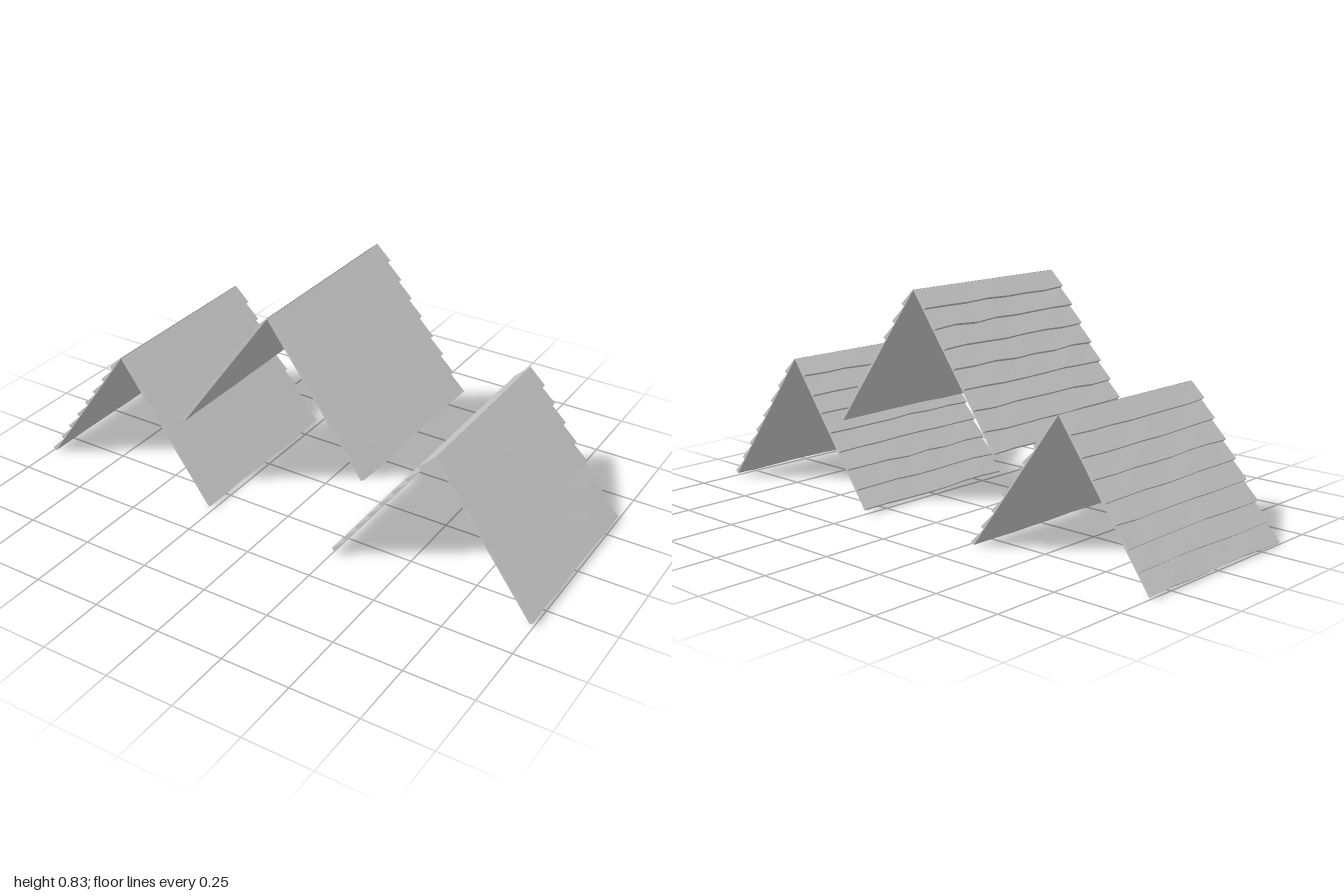
import * as THREE from 'three';

const ROWS = 8, STATIONS = 8;           // shingle courses per slope, points along each lip
const DROP = 0.498;                     // fall of every slope
const LIP = 0.016, SKIN = 0.002;        // lip height and sheet thickness

// small seeded random for the uneven lips, -1 to 1
function seeded(seed) {
  let s = seed;
  return () => {
    s = (s * 16807) % 2147483647;
    return (s / 2147483647) * 2 - 1;
  };
}

// one sloping sheet: overlapping wedge courses outside, flat underside
function slopeGeometry(side, run, random) {
  const length = Math.hypot(run, DROP);
  const ux = run / length, uy = DROP / length;
  const pos = [];
  // d runs down the slope, n runs outward from it
  const point = (d, n, z) => [side * (ux * d + uy * n), -uy * d + ux * n, z];
  const tri = (a, b, c) => pos.push(...a, ...(side > 0 ? [...b, ...c] : [...c, ...b]));
  const quad = (a, b, c, d) => { tri(a, b, c); tri(a, c, d); };

  // wavy lower edge of every course
  const edges = [];
  for (let r = 0; r <= ROWS; r++) {
    edges.push(Array.from({ length: STATIONS }, () =>
      (r * length) / ROWS + (r ? random() * 0.0035 : 0)));
  }
  const zAt = (k) => 0.35 - (k * 0.7) / (STATIONS - 1);

  for (let r = 0; r < ROWS; r++) {
    const section = (k) => {
      const z = zAt(k), top = edges[r][k], low = edges[r + 1][k];
      return [point(top, SKIN, z), point(low, LIP, z), point(low, SKIN, z),
        point(low, 0, z), point(top, 0, z)];
    };
    for (let k = 0; k < STATIONS - 1; k++) {
      const f = section(k), b = section(k + 1);
      quad(f[0], f[1], b[1], b[0]);                              // course face
      quad(f[1], f[2], b[2], b[1]);                              // lip
      quad(f[3], f[4], b[4], b[3]);                              // underside
      if (r === ROWS - 1) quad(f[2], f[3], b[3], b[2]);          // eave edge
    }
    // gable ends
    const f = section(0), b = section(STATIONS - 1);
    tri(f[0], f[2], f[1]);
    quad(f[0], f[4], f[3], f[2]);
    tri(b[0], b[1], b[2]);
    quad(b[0], b[2], b[3], b[4]);
  }
  const geo = new THREE.BufferGeometry();
  geo.setAttribute('position', new THREE.Float32BufferAttribute(pos, 3));
  geo.computeVertexNormals();
  return geo;
}

export function createModel() {
  const model = new THREE.Group();
  model.name = 'shingleRoofs';
  const grey = new THREE.MeshStandardMaterial({ color: 0xc6c6c6, side: THREE.DoubleSide });
  grey.name = 'shingle light grey';
  const random = seeded(4711);

  // name, ridge position and slope run of the three roofs
  const roofs = [
    ['rightRoof', -0.631, 0.5, 0.003, 0.358],
    ['middleRoof', -0.004, 0.824, -0.002, 0.361],
    ['leftRoof', 0.624, 0.508, 0.003, 0.364],
  ];
  for (const [name, x, y, z, run] of roofs) {
    const roof = new THREE.Group();
    roof.name = name;
    roof.position.set(x, y, z);
    for (const side of [-1, 1]) {
      const slope = new THREE.Mesh(slopeGeometry(side, run, random), grey);
      slope.name = side > 0 ? 'leftSlope' : 'rightSlope';
      roof.add(slope);
    }
    model.add(roof);
  }
  return model;
}
